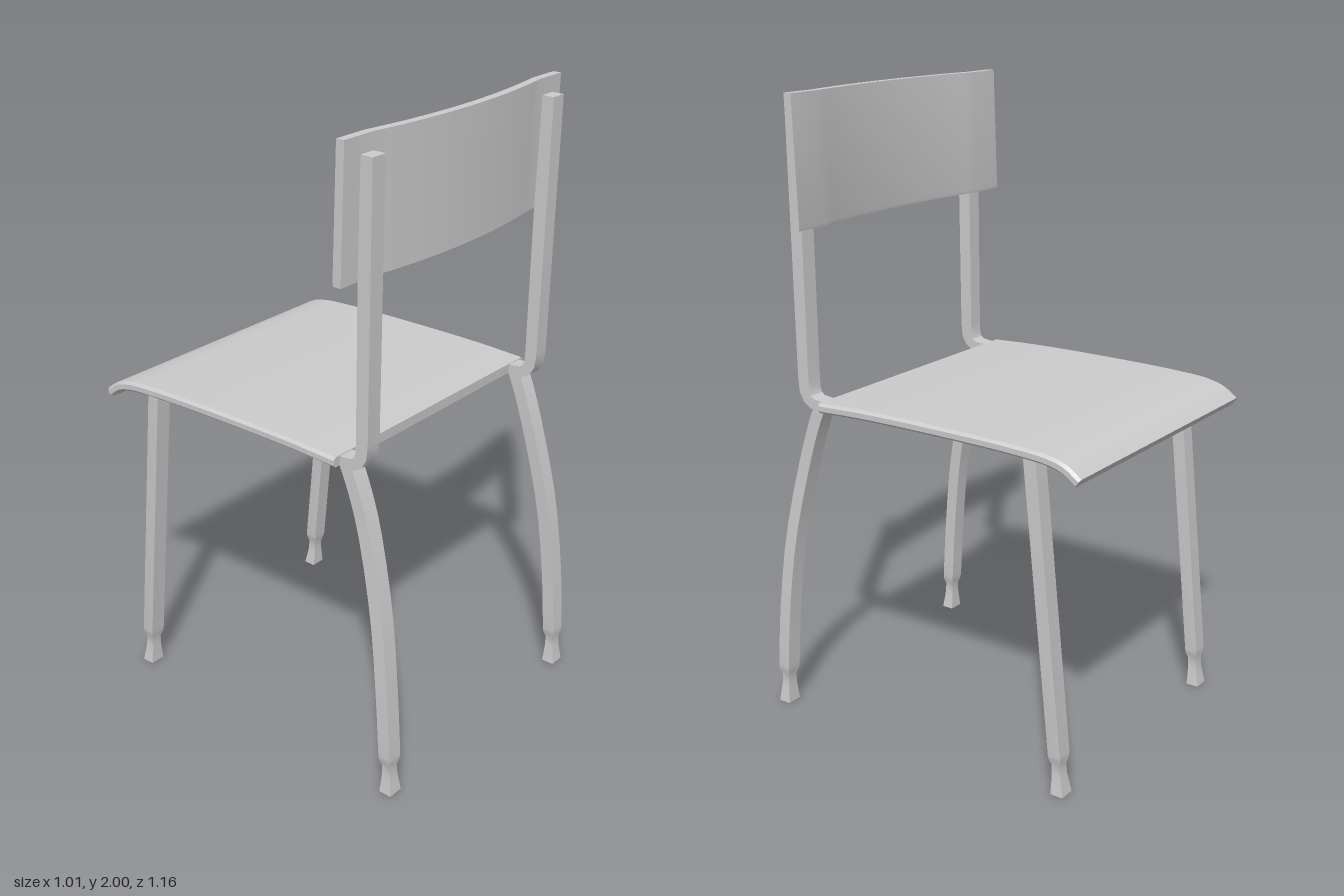
import * as THREE from 'three';
import { toCreasedNormals } from 'three/addons/utils/BufferGeometryUtils.js';

const material = new THREE.MeshStandardMaterial({ color: 0xcccccc });
const SQUARE = [[-1, -1], [1, -1], [1, 1], [-1, 1]];

// Closed solid skinned over a list of equal-length convex rings, capped at both ends.
function loft(rings) {
  const n = rings[0].length, tris = [];
  for (let i = 0; i < rings.length - 1; i++) {
    for (let j = 0; j < n; j++) {
      const k = (j + 1) % n;
      const [a, b, c, d] = [rings[i][j], rings[i][k], rings[i + 1][k], rings[i + 1][j]];
      tris.push([a, b, c], [a, c, d]);
    }
  }
  const first = rings[0], last = rings[rings.length - 1];
  for (let j = 1; j < n - 1; j++) {
    tris.push([first[0], first[j + 1], first[j]], [last[0], last[j], last[j + 1]]);
  }
  // Turn all faces outward by the sign of the enclosed volume
  const volume = tris.reduce((s, [a, b, c]) => s + a.dot(b.clone().cross(c)), 0);
  if (volume < 0) tris.forEach(t => t.reverse());
  const geometry = new THREE.BufferGeometry().setFromPoints(tris.flat());
  return toCreasedNormals(geometry, 0.45);
}

// Bar along stations [x, y, z, width, depth], each section square to the path in the yz plane.
function bar(stations, section = SQUARE) {
  return loft(stations.map(([x, y, z, w, d], i) => {
    const p = stations[Math.max(i - 1, 0)], q = stations[Math.min(i + 1, stations.length - 1)];
    const t = new THREE.Vector2(q[1] - p[1], q[2] - p[2]).normalize();
    return section.map(([u, v]) => new THREE.Vector3(
      x + u * w / 2,
      y === 0 ? 0 : y - v * t.y * d / 2,
      z + v * t.x * d / 2));
  }));
}

// Smooth run of stations through a few [x, y, z] points.
function smooth(points, count, w, d) {
  const curve = new THREE.CatmullRomCurve3(points.map(p => new THREE.Vector3(...p)), false, 'centripetal');
  return curve.getPoints(count).map(p => [p.x, p.y, p.z, w, d]);
}

function add(parent, name, geometry) {
  const mesh = new THREE.Mesh(geometry, material);
  mesh.name = name;
  parent.add(mesh);
}

// Narrow neck flaring to a square foot
const foot = (x, z, lean) => [
  [x, 0.115, z, 0.05, 0.04],
  [x, 0.095, z + lean * 0.1, 0.034, 0.03],
  [x, 0.06, z + lean * 0.3, 0.036, 0.031],
  [x, 0, z + lean, 0.052, 0.042],
];

export function createModel() {
  const chair = new THREE.Group();
  chair.name = 'chair';
  const frame = new THREE.Group();
  frame.name = 'frame';
  frame.position.x = 0.007;
  chair.add(frame);

  // Seat: thin board with chamfered sides, curling down at its free edge
  const seatSection = [[-1, -0.5], [-0.98, -1], [0.98, -1], [1, -0.5],
    [1, 0.5], [0.98, 1], [-0.98, 1], [-1, 0.5]];
  add(frame, 'seat', bar(smooth([
    [0, 1.055, 0.362], [0, 1.062, 0.18], [0, 1.062, -0.2], [0, 1.057, -0.38],
    [0, 1.05, -0.47], [0, 1.035, -0.525], [0, 1.004, -0.571],
  ], 32, 0.955, 0.032), seatSection));

  for (const side of [1, -1]) {
    const label = side > 0 ? 'left' : 'right';
    const x = side * 0.424;

    // Upright post bending into the seat edge
    add(frame, label + 'BackPost', bar([
      [x, 1.95, 0.452, 0.053, 0.04],
      [x, 1.6, 0.446, 0.053, 0.044],
      [x, 1.13, 0.442, 0.053, 0.042],
      [x, 1.09, 0.439, 0.053, 0.04],
      [x, 1.068, 0.428, 0.053, 0.037],
      [x, 1.056, 0.41, 0.053, 0.035],
      [x, 1.053, 0.385, 0.053, 0.034],
      [x, 1.053, 0.355, 0.053, 0.03],
    ]));

    // Bowed leg below the post, splaying outward toward the floor
    add(frame, label + 'BowedLeg', bar([
      ...smooth([
        [x, 1.045, 0.382], [x, 0.98, 0.409], [x + side * 0.001, 0.86, 0.448],
        [x + side * 0.014, 0.6, 0.508], [x + side * 0.024, 0.335, 0.541],
        [x + side * 0.027, 0.13, 0.556],
      ], 14, 0.053, 0.042),
      ...foot(x + side * 0.027, 0.557, 0.004),
    ]));

    // Straight leg slanting away under the curled edge
    add(frame, label + 'StraightLeg', bar([
      [x, 1.045, -0.395, 0.053, 0.042],
      [x, 0.13, -0.488, 0.053, 0.042],
      ...foot(x, -0.489, -0.009),
    ]));
  }

  // Backrest: tilted panel, flat at the posts and bowed between them
  const xs = [-0.506];
  for (let i = 0; i <= 16; i++) xs.push(-0.39 + 0.78 * i / 16);
  xs.push(0.504);
  add(chair, 'backrest', loft(xs.map(x => {
    const z = 0.034 * Math.max(0, 1 - (x / 0.39) ** 2);
    return [[1.6, 0.392], [1.61, 0.39], [2, 0.403], [2, 0.43], [1.6, 0.418]]
      .map(([y, dz]) => new THREE.Vector3(x, y, z + dz));
  })));

  return chair;
}
